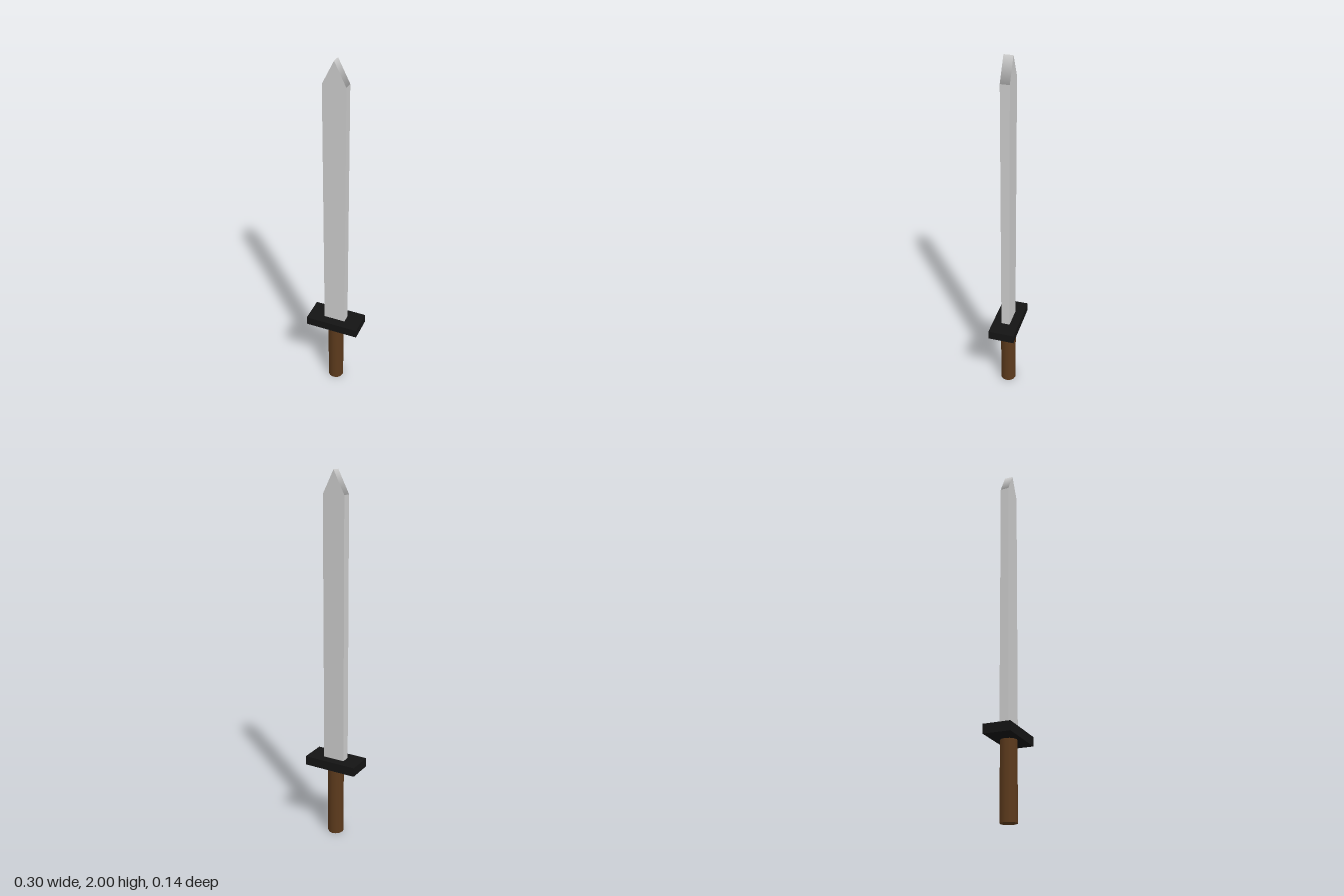
import * as THREE from 'three';

export function createModel() {
  const group = new THREE.Group();
  const steel = new THREE.MeshStandardMaterial({ color: 0xcccccc });
  const black = new THREE.MeshStandardMaterial({ color: 0x141414 });
  const wood = new THREE.MeshStandardMaterial({ color: 0x5c3a1c });

  const add = (name, geometry, material, y) => {
    const mesh = new THREE.Mesh(geometry, material);
    mesh.name = name;
    mesh.position.y = y;
    group.add(mesh);
  };

  const handleTop = 0.405, guardTop = 0.455, shoulder = 1.88, tip = 2;
  const bladeWidth = 0.122, bladeDepth = 0.048;

  // Round wooden grip
  add('handle', new THREE.CylinderGeometry(0.044, 0.044, handleTop, 12), wood, handleTop / 2);

  // Flat cross guard
  add('guard', new THREE.BoxGeometry(0.303, guardTop - handleTop, 0.145), black, (handleTop + guardTop) / 2);

  // Straight blade
  add('blade', new THREE.BoxGeometry(bladeWidth, shoulder - guardTop, bladeDepth), steel, (guardTop + shoulder) / 2);

  // Pointed end: a three-sided prism laid on its back, point up, base at y = 0
  const point = new THREE.CylinderGeometry(1, 1, bladeDepth, 3);
  point.rotateX(-Math.PI / 2);
  point.translate(0, 0.5, 0);
  point.scale(bladeWidth / Math.sqrt(3), (tip - shoulder) / 1.5, 1);
  add('bladeTip', point, steel, shoulder);

  return group;
}
